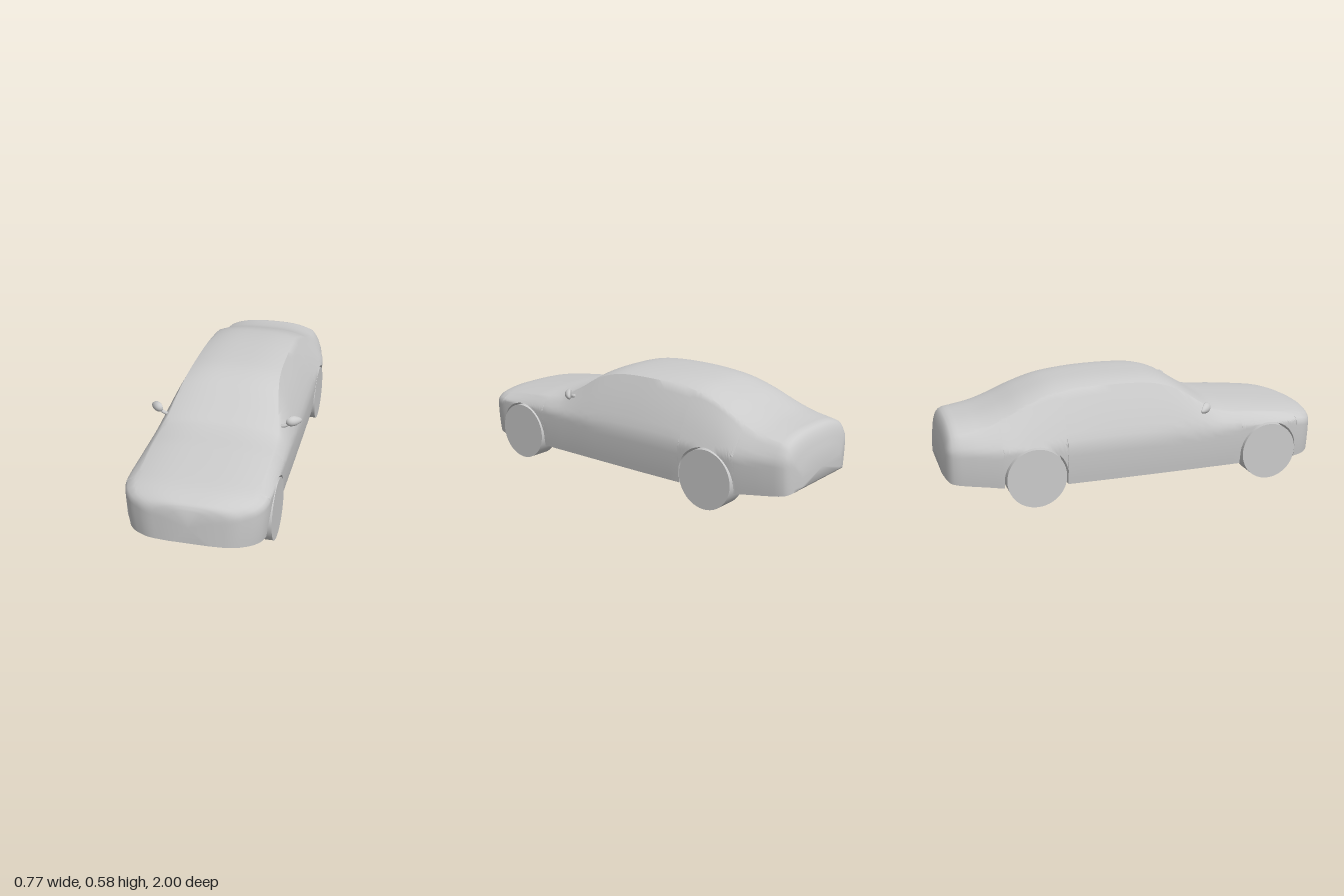
import * as THREE from 'three';
import { toCreasedNormals } from 'three/addons/utils/BufferGeometryUtils.js';

const WHEELS = [0.68, -0.565], WHEEL_R = 0.149, ARCH_R = 0.158, AXLE_Y = 0.15, WELL_X = 0.22, BELT = 0.3;

// body stations: z, half width, roof edge x, roof edge y, centre top y, floor y
const STATIONS = [
  [0.997, 0.10, 0.085, 0.265, 0.29, 0.116], [0.985, 0.19, 0.165, 0.285, 0.312, 0.112],
  [0.96, 0.25, 0.22, 0.30, 0.325, 0.108], [0.93, 0.295, 0.26, 0.31, 0.337, 0.105],
  [0.88, 0.33, 0.285, 0.325, 0.35, 0.10], [0.80, 0.343, 0.29, 0.338, 0.362, 0.096],
  [0.60, 0.345, 0.295, 0.36, 0.386, 0.095], [0.42, 0.346, 0.29, 0.378, 0.407, 0.094],
  [0.35, 0.346, 0.28, 0.41, 0.437, 0.094], [0.20, 0.347, 0.25, 0.505, 0.53, 0.094],
  [0.10, 0.347, 0.236, 0.54, 0.565, 0.094], [0.00, 0.347, 0.23, 0.553, 0.577, 0.094],
  [-0.15, 0.347, 0.228, 0.556, 0.581, 0.094], [-0.30, 0.347, 0.225, 0.55, 0.577, 0.095],
  [-0.45, 0.347, 0.225, 0.53, 0.56, 0.096], [-0.58, 0.347, 0.235, 0.488, 0.52, 0.10],
  [-0.70, 0.345, 0.248, 0.435, 0.47, 0.108], [-0.80, 0.325, 0.255, 0.40, 0.437, 0.12],
  [-0.90, 0.30, 0.252, 0.382, 0.42, 0.13], [-0.955, 0.28, 0.24, 0.37, 0.41, 0.137],
  [-0.98, 0.25, 0.215, 0.335, 0.37, 0.145], [-1.0, 0.18, 0.15, 0.25, 0.28, 0.165],
];

// smooth (Hermite) interpolation between stations
function stationAt(z) {
  let i = 0;
  while (i < STATIONS.length - 2 && z < STATIONS[i + 1][0]) i++;
  const a = STATIONS[i], b = STATIONS[i + 1], h = b[0] - a[0], t = (z - a[0]) / h;
  const slope = (n, k) => {
    const p = STATIONS[Math.max(n - 1, 0)], q = STATIONS[Math.min(n + 1, STATIONS.length - 1)];
    return (q[k] - p[k]) / (q[0] - p[0]);
  };
  return [1, 2, 3, 4, 5].map((k) => {
    const m0 = slope(i, k) * h, m1 = slope(i + 1, k) * h, t2 = t * t, t3 = t2 * t;
    return (2 * t3 - 3 * t2 + 1) * a[k] + (t3 - 2 * t2 + t) * m0 + (3 * t2 - 2 * t3) * b[k] + (t3 - t2) * m1;
  });
}

// lower edge of the side panel: floor, or the wheel arch above it
function archY(z, floor) {
  for (const c of WHEELS) {
    const d = Math.abs(z - c);
    if (d <= ARCH_R + 1e-6) return AXLE_Y + Math.sqrt(Math.max(0, ARCH_R ** 2 - d * d));
  }
  return floor;
}

// closed cross-section, counterclockwise seen from the front
function section(z) {
  const [w, xr, yr, yt, floor] = stationAt(z);
  const ya = archY(z, floor), belt = Math.min(BELT, yr - 0.03), xi = Math.min(WELL_X, w * 0.8);
  const sideX = (y) => {
    if (y < belt) return w * (1 - 0.045 * ((belt - y) / (belt - floor)) ** 2);
    const t = (y - belt) / (yr - belt);
    return w + (xr - w) * t + 0.006 * Math.sin(Math.PI * t);
  };
  const half = [[xi, floor], [xi, ya]];
  for (let i = 0; i <= 12; i++) {
    const y = ya + (yr - ya) * (i / 12);
    half.push([sideX(y), y]);
  }
  for (let i = 1; i < 8; i++) {
    const u = Math.cos((i / 8) * Math.PI / 2);
    half.push([xr * u, yr + (yt - yr) * (1 - u ** 3)]);
  }
  const mirrored = half.map(([x, y]) => [-x, y]).reverse();
  return [[0, floor], ...half, [0, yt], ...mirrored].map(([x, y]) => [x, y, z]);
}

function bodyGeometry() {
  // sample the stations, points between them and the arch curves
  const zs = [];
  STATIONS.forEach((s, i) => {
    const next = STATIONS[i + 1];
    for (let k = 0; k < (next ? 3 : 1); k++) zs.push(next ? s[0] + (next[0] - s[0]) * k / 3 : s[0]);
  });
  for (const c of WHEELS) {
    for (let i = 0; i <= 28; i++) zs.push(c + ARCH_R * Math.cos((i / 28) * Math.PI));
    zs.push(c + ARCH_R + 0.0008, c - ARCH_R - 0.0008);
  }
  zs.sort((a, b) => b - a);
  const rings = zs.map(section), n = rings[0].length, pos = [], index = [];
  rings.forEach((r) => r.forEach((p) => pos.push(...p)));
  for (let i = 0; i < rings.length - 1; i++) {
    for (let j = 0; j < n; j++) {
      const a = i * n + j, b = i * n + (j + 1) % n;
      index.push(a, a + n, b, b, a + n, b + n);
    }
  }
  // nose and tail caps
  const last = (rings.length - 1) * n, c0 = rings.length * n;
  pos.push(0, 0.2, 1, 0, 0.22, -1.0);
  for (let j = 0; j < n; j++) {
    const k = (j + 1) % n;
    index.push(c0, j, k, c0 + 1, last + k, last + j);
  }
  const g = new THREE.BufferGeometry();
  g.setAttribute('position', new THREE.Float32BufferAttribute(pos, 3));
  g.setIndex(index);
  return toCreasedNormals(g, 0.75);
}

// door mirror head: rounded in front, nearly flat behind, tapering outward
function mirrorGeometry(side) {
  const g = new THREE.SphereGeometry(1, 20, 14), p = g.attributes.position;
  for (let i = 0; i < p.count; i++) {
    const x = p.getX(i), taper = 1 - 0.3 * x * side;
    p.setXYZ(i, x * 0.046, p.getY(i) * 0.025 * taper, p.getZ(i) * (p.getZ(i) < 0 ? 0.007 : 0.026) * taper);
  }
  g.computeVertexNormals();
  return g;
}

export function createModel() {
  const car = new THREE.Group();
  car.name = 'car';
  const material = new THREE.MeshStandardMaterial({ color: 0xcccccc });
  const add = (name, geometry, x = 0, y = 0, z = 0) => {
    const mesh = new THREE.Mesh(geometry, material);
    mesh.name = name;
    mesh.position.set(x, y, z);
    car.add(mesh);
    return mesh;
  };

  add('body', bodyGeometry());

  const wheel = new THREE.CylinderGeometry(WHEEL_R, WHEEL_R, 0.111, 48).rotateZ(Math.PI / 2);
  for (const side of [1, -1]) {
    const label = side > 0 ? 'left' : 'right';
    WHEELS.forEach((z, i) => add(label + (i ? 'RearWheel' : 'FrontWheel'), wheel, side * 0.291, WHEEL_R, z));

    // door mirror on a short stalk
    const head = add(label + 'MirrorHead', mirrorGeometry(side), side * 0.349, 0.421, 0.305);
    head.rotation.set(0, side * 0.7, side * -0.12);
    const stalk = new THREE.CatmullRomCurve3([
      new THREE.Vector3(side * 0.28, 0.396, 0.33),
      new THREE.Vector3(side * 0.31, 0.402, 0.328),
      new THREE.Vector3(side * 0.338, 0.416, 0.318),
    ]);
    add(label + 'MirrorStalk', new THREE.TubeGeometry(stalk, 8, 0.009, 10));
  }
  return car;
}
